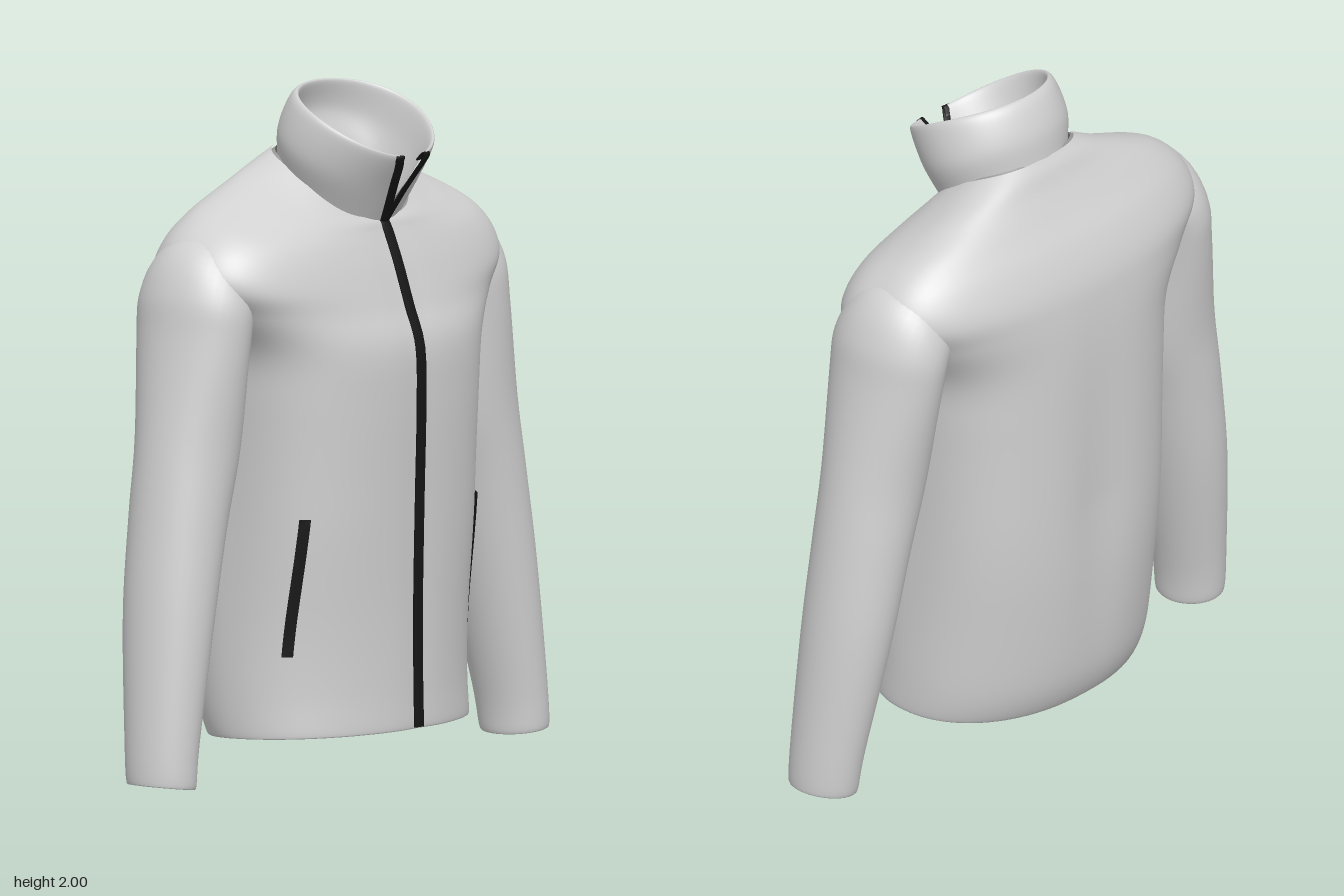
import * as THREE from 'three';

const fabric = new THREE.MeshStandardMaterial({ color: 0xd0d0d0 });
fabric.name = 'light grey fabric';
const inside = new THREE.MeshStandardMaterial({ color: 0x989898, side: THREE.DoubleSide });
inside.name = 'grey lining';
const black = new THREE.MeshStandardMaterial({ color: 0x161616, side: THREE.DoubleSide });
black.name = 'black zip';

// Smoothly interpolates six-number rows at t in 0..1
function rowSpline(rows) {
  const part = (k) => new THREE.CatmullRomCurve3(
    rows.map((r) => new THREE.Vector3(r[k], r[k + 1], r[k + 2])), false, 'catmullrom', 0.5);
  const a = part(0), b = part(3);
  return (t) => [...a.getPoint(t).toArray(), ...b.getPoint(t).toArray()];
}

// Skins a list of point rings; closed joins the last point to the first
function skin(rings, closed) {
  const m = rings[0].length, pos = [], index = [];
  rings.forEach((ring) => ring.forEach((p) => pos.push(p.x, p.y, p.z)));
  for (let i = 0; i < rings.length - 1; i++) {
    for (let j = 0; j < (closed ? m : m - 1); j++) {
      const k = (j + 1) % m;
      const a = i * m + j, b = i * m + k, c = a + m, d = b + m;
      index.push(a, b, d, a, d, c);
    }
  }
  const g = new THREE.BufferGeometry();
  g.setAttribute('position', new THREE.Float32BufferAttribute(pos, 3));
  g.setIndex(index);
  g.computeVertexNormals();
  return g;
}

function addMesh(parent, name, geometry, material) {
  const mesh = new THREE.Mesh(geometry, material);
  mesh.name = name;
  parent.add(mesh);
}

// Point on a tilted ring [yFront, ySide, yBack, halfWidth, zFront, zBack]; angle 0 is the front
const signedPow = (v, p) => Math.sign(v) * Math.abs(v) ** p;
function ringPoint([yF, yS, yB, hw, zF, zB], angle, p = 1) {
  const s = signedPow(Math.sin(angle), p), c = signedPow(Math.cos(angle), p);
  return new THREE.Vector3(hw * s, yS + (yF - yB) / 2 * c + ((yF + yB) / 2 - yS) * c * c,
    (zF + zB) / 2 + (zF - zB) / 2 * c);
}

// Thin flat strip along points
function strip(points, across, out) {
  return skin(points.map((p) => [[-1, 0], [-1, 1], [1, 1], [1, 0]].map(([u, v]) =>
    p.clone().addScaledVector(across, u).addScaledVector(out, v))), true);
}

const bodyRows = [
  [0.16, 0.15, 0.14, 0.437, 0.322, -0.262], // folded hem
  [0.13, 0.12, 0.10, 0.452, 0.337, -0.275],
  [0.25, 0.24, 0.22, 0.455, 0.335, -0.318],
  [0.50, 0.50, 0.50, 0.45, 0.334, -0.342],
  [0.80, 0.80, 0.80, 0.45, 0.34, -0.345],
  [1.08, 1.08, 1.08, 0.462, 0.347, -0.343],
  [1.25, 1.25, 1.27, 0.485, 0.342, -0.338],
  [1.36, 1.38, 1.41, 0.575, 0.304, -0.326],
  [1.43, 1.47, 1.50, 0.648, 0.28, -0.308],
  [1.49, 1.555, 1.59, 0.628, 0.259, -0.268],
  [1.54, 1.625, 1.67, 0.55, 0.239, -0.215],
  [1.58, 1.675, 1.74, 0.42, 0.222, -0.172],
  [1.605, 1.715, 1.79, 0.30, 0.212, -0.147],
  [1.62, 1.755, 1.82, 0.21, 0.20, -0.125],
];
const bodyAt = rowSpline(bodyRows);

// Body ring whose front lies at height y
function bodyAtHeight(y) {
  let t = 1 / (bodyRows.length - 1);
  while (t < 1 && bodyAt(t)[0] < y) t += 0.001;
  return bodyAt(Math.min(t, 1));
}

// Rings grow squarer from the hem to the chest
const bodyPower = (row) => THREE.MathUtils.lerp(0.93, 0.75, THREE.MathUtils.smoothstep(row[1], 0.2, 0.8));

// Body surface with a soft hollow along the spine and a slight one at the zip
function bodyPoint(row, angle) {
  const p = ringPoint(row, angle, bodyPower(row));
  if (p.z < 0) p.z += 0.018 * Math.exp(-((p.x / 0.1) ** 2)) * Math.max(0, 1 - Math.abs(p.y - 0.75) / 0.7);
  else p.z -= 0.006 * Math.exp(-((p.x / 0.05) ** 2));
  return p;
}

function bodySkin(inset) {
  const rings = [];
  for (let i = 0; i <= 91; i++) {
    const [yF, yS, yB, hw, zF, zB] = bodyAt(i / 91);
    const row = [yF, yS, yB, hw - inset, zF - inset, zB + inset];
    rings.push(Array.from({ length: 96 }, (_, j) => bodyPoint(row, j / 96 * Math.PI * 2)));
  }
  return skin(rings, true);
}

// Sleeve rows: centre x, y, z, half width, half depth, tilt
const sleeveAt = rowSpline([
  [0.808, 0.06, 0.03, 0.078, 0.09, 0.13], // folded cuff
  [0.81, 0.018, 0.03, 0.09, 0.108, 0.13],
  [0.797, 0.15, 0.022, 0.097, 0.118, 0.14],
  [0.74, 0.50, 0.0, 0.121, 0.142, 0.15],
  [0.685, 0.78, -0.01, 0.137, 0.15, 0.15],
  [0.635, 1.00, -0.015, 0.15, 0.158, 0.15],
  [0.597, 1.28, -0.025, 0.135, 0.185, 0.22],
  [0.575, 1.40, -0.03, 0.137, 0.19, 0.4],
  [0.525, 1.475, -0.035, 0.143, 0.168, 0.78],
  [0.46, 1.52, -0.03, 0.105, 0.13, 1.2],
]);

function sleeveSkin(side, inset) {
  const rings = [];
  for (let i = 0; i <= 54; i++) {
    const [x, y, z, hw, hd, tilt] = sleeveAt(i / 54), ring = [];
    for (let j = 0; j < 40; j++) {
      const a = -j / 40 * Math.PI * 2 * side;
      const u = (hw - inset) * Math.cos(side > 0 ? a : -a);
      ring.push(new THREE.Vector3(side * (x + u * Math.cos(tilt)), y + u * Math.sin(tilt),
        z + (hd - inset) * Math.sin(a)));
    }
    rings.push(ring);
  }
  return skin(rings, true);
}

// Standing collar, outside up over the rim and down the inside
const collarRows = [
  [1.60, 1.725, 1.805, 0.205, 0.20, -0.128],
  [1.71, 1.815, 1.90, 0.236, 0.262, -0.115],
  [1.795, 1.91, 1.98, 0.228, 0.318, -0.078],
  [1.80, 1.92, 1.994, 0.208, 0.308, -0.05],
  [1.72, 1.83, 1.91, 0.188, 0.25, -0.068],
  [1.64, 1.75, 1.83, 0.165, 0.185, -0.045],
];
const collarGaps = [0.01, 0.13, 0.27, 0.28, 0.15, 0.03];
const collarAt = rowSpline(collarRows);
function gapAt(t) {
  const f = t * 5, i = Math.min(4, Math.floor(f));
  return THREE.MathUtils.lerp(collarGaps[i], collarGaps[i + 1], f - i);
}

function buildCollar(group) {
  const rings = [];
  for (let i = 0; i <= 40; i++) {
    const row = collarAt(i / 40), gap = gapAt(i / 40), ring = [];
    for (let j = 0; j <= 64; j++) {
      ring.push(ringPoint(row, gap + j / 64 * (Math.PI * 2 - 2 * gap)));
    }
    rings.push(ring);
  }
  addMesh(group, 'collar', skin(rings, false), fabric);

  // Bowl-shaped lining closing the neck
  const lining = [
    collarRows[5],
    [1.58, 1.64, 1.70, 0.155, 0.175, -0.04],
    [1.55, 1.58, 1.61, 0.11, 0.13, 0.0],
    [1.55, 1.56, 1.57, 0.001, 0.066, 0.064],
  ].map((row) => Array.from({ length: 48 }, (_, j) => ringPoint(row, j / 48 * Math.PI * 2)));
  addMesh(group, 'neckLining', skin(lining, true), inside);

  // Zip halves along the open collar edges
  for (const side of [1, -1]) {
    const points = [];
    for (let i = 0; i <= 26; i++) {
      const t = i / 40;
      points.push(ringPoint(collarAt(t), side * gapAt(t)));
    }
    addMesh(group, side > 0 ? 'leftCollarZip' : 'rightCollarZip',
      strip(points, new THREE.Vector3(0.014, 0, -0.002 * side), new THREE.Vector3(0, -0.002, 0.005)), black);
  }
}

function buildZips(group) {
  // Front zip
  const front = [];
  for (let i = 0; i <= 40; i++) front.push(bodyPoint(bodyAtHeight(0.13 + i / 40 * 1.49), 0));
  addMesh(group, 'frontZip', strip(front, new THREE.Vector3(0.019, 0, 0), new THREE.Vector3(0, 0, 0.007)), black);

  // Slanted pocket zips
  for (const side of [1, -1]) {
    const points = [];
    for (let i = 0; i <= 14; i++) {
      const row = bodyAtHeight(0.365 + i / 14 * 0.405);
      const x = THREE.MathUtils.lerp(0.404, 0.386, i / 14);
      points.push(bodyPoint(row, side * Math.asin((x / row[3]) ** (1 / bodyPower(row)))));
    }
    addMesh(group, side > 0 ? 'leftPocketZip' : 'rightPocketZip',
      strip(points, new THREE.Vector3(0.011, 0, -0.013 * side), new THREE.Vector3(0.007 * side, 0, 0.006)), black);
  }
}

export function createModel() {
  const group = new THREE.Group();
  group.name = 'jacket';
  addMesh(group, 'body', bodySkin(0), fabric);
  addMesh(group, 'bodyLining', bodySkin(0.01), inside);
  for (const side of [1, -1]) {
    const name = side > 0 ? 'leftSleeve' : 'rightSleeve';
    addMesh(group, name, sleeveSkin(side, 0), fabric);
    addMesh(group, name + 'Lining', sleeveSkin(side, 0.008), inside);
  }
  buildCollar(group);
  buildZips(group);
  return group;
}
